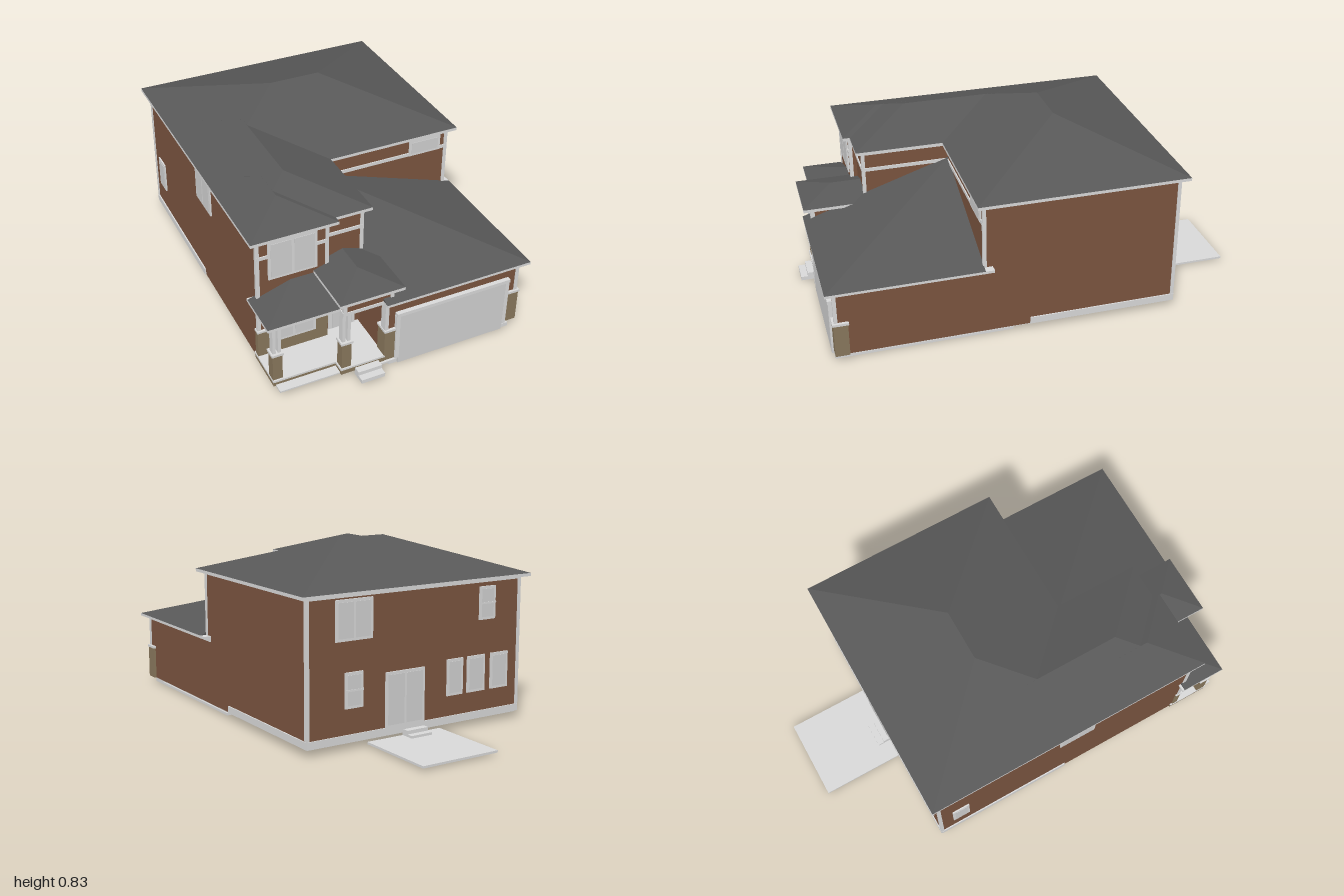
import * as THREE from 'three';
import { ConvexGeometry } from 'three/addons/geometries/ConvexGeometry.js';

const mat = (name, color) => {
  const m = new THREE.MeshStandardMaterial({ color });
  m.name = name;
  return m;
};

export function createModel() {
  const model = new THREE.Group();
  model.name = 'house';
  const trim = mat('trim', 0xd8d8d8);
  const glass = mat('pane', 0xd0d0d0);
  const brick = mat('brick', 0x7a543f);
  const stone = mat('stone', 0x88775c);
  const roof = mat('roof', 0x585858);

  const add = (name, geo, m, parent = model) => {
    const mesh = new THREE.Mesh(geo, m);
    mesh.name = name;
    parent.add(mesh);
    return mesh;
  };
  // box given by its limits on each axis
  const box = (name, m, x0, x1, y0, y1, z0, z1, parent) => {
    const b = add(name, new THREE.BoxGeometry(x1 - x0, y1 - y0, z1 - z0), m, parent);
    b.position.set((x0 + x1) / 2, (y0 + y1) / 2, (z0 + z1) / 2);
    return b;
  };
  // roof solid: rectangular eave plus ridge points
  const roofSolid = (name, x0, x1, z0, z1, y, ridge) => {
    const pts = [[x0, y, z0], [x1, y, z0], [x1, y, z1], [x0, y, z1], ...ridge];
    add(name, new ConvexGeometry(pts.map((p) => new THREE.Vector3(...p))), roof);
  };
  const eave = (name, x0, x1, y0, y1, z0, z1) => box(name, trim, x0, x1, y0, y1, z0, z1);

  // walls
  box('mainWalls', brick, -0.565, 0.565, 0.13, 0.757, -0.61, 0.28);
  box('wingWalls', brick, -0.565, -0.07, 0.13, 0.757, 0.28, 0.68);
  box('bayWalls', brick, -0.565, -0.25, 0.13, 0.757, 0.68, 0.71);
  box('garageWalls', brick, -0.07, 0.565, 0.13, 0.445, 0.28, 0.93);
  box('floorSlab', trim, -0.56, 0.56, 0.124, 0.131, -0.605, 0.925);

  // foundation strips
  box('backFoundation', trim, -0.568, 0.568, 0.13, 0.162, -0.615, -0.6);
  for (const s of [-1, 1]) box('sideFoundation', trim, s * 0.567 - 0.004, s * 0.567 + 0.004, 0.13, 0.162, -0.61, 0.07);

  // corner boards
  const corner = (x, z, y0, y1) => box('cornerBoard', trim, x - 0.008, x + 0.008, y0, y1, z - 0.008, z + 0.008);
  for (const [x, z, y0, y1] of [
    [-0.561, -0.606, 0.13, 0.757], [0.561, -0.606, 0.13, 0.757], [0.561, 0.276, 0.45, 0.757],
    [-0.561, 0.706, 0.285, 0.757], [-0.249, 0.706, 0.285, 0.757], [-0.074, 0.676, 0.44, 0.757],
    [0.561, 0.926, 0.285, 0.445],
  ]) corner(x, z, y0, y1);

  // frieze and belt boards on the front faces
  for (const [x0, x1, z] of [[-0.565, -0.25, 0.71], [-0.25, -0.07, 0.68], [-0.07, 0.565, 0.28]]) {
    box('frieze', trim, x0, x1, 0.742, 0.757, z - 0.004, z + 0.005);
    box('beltBoard', trim, x0, x1, 0.66, 0.676, z - 0.004, z + 0.005);
  }
  box('wingSideBelt', trim, -0.074, -0.065, 0.66, 0.676, 0.28, 0.68);
  box('wingSideFrieze', trim, -0.074, -0.065, 0.742, 0.757, 0.28, 0.68);
  box('backFrieze', trim, -0.565, 0.565, 0.745, 0.757, -0.615, -0.6);
  box('rightFrieze', trim, 0.56, 0.57, 0.745, 0.757, -0.61, 0.28);
  box('leftFrieze', trim, -0.57, -0.56, 0.745, 0.757, -0.61, 0.71);

  // upper roofs and their eaves
  roofSolid('mainRoof', -0.6, 0.6, -0.645, 0.31, 0.77, [[-0.12, 0.929, -0.168], [0.12, 0.929, -0.168]]);
  roofSolid('wingRoof', -0.6, -0.04, -0.3, 0.71, 0.77, [[-0.32, 0.863, -0.02], [-0.32, 0.863, 0.43]]);
  roofSolid('bayRoof', -0.6, -0.21, 0.2, 0.742, 0.77, [[-0.405, 0.835, 0.395], [-0.405, 0.835, 0.547]]);
  eave('mainEave', -0.6, 0.6, 0.756, 0.77, -0.645, 0.31);
  eave('wingEave', -0.6, -0.04, 0.756, 0.77, 0.2, 0.71);
  eave('bayEave', -0.6, -0.21, 0.756, 0.77, 0.5, 0.742);

  // garage roof: one hip leaning on the wing corner, with a short return beside the entry
  roofSolid('garageRoof', -0.07, 0.6, 0.28, 0.967, 0.457, [[-0.07, 0.68, 0.28]]);
  roofSolid('garageRoofReturn', -0.095, -0.065, 0.68, 0.967, 0.457, [[-0.095, 0.55, 0.68], [-0.065, 0.55, 0.68]]);
  eave('garageEave', -0.095, 0.6, 0.445, 0.457, 0.68, 0.967);
  eave('garageSideEave', 0.5, 0.6, 0.445, 0.457, 0.24, 0.7);
  box('garageFrieze', trim, -0.08, 0.57, 0.43, 0.446, 0.922, 0.936);
  box('garageSideFrieze', trim, 0.56, 0.57, 0.43, 0.446, 0.24, 0.93);

  // porch roof and entry roof
  roofSolid('porchRoof', -0.6, -0.2, 0.69, 0.902, 0.458, [[-0.395, 0.525, 0.69], [-0.2, 0.525, 0.69]]);
  eave('porchEave', -0.6, -0.2, 0.445, 0.458, 0.68, 0.902);
  roofSolid('entryRoof', -0.31, -0.015, 0.68, 0.967, 0.53, [[-0.163, 0.577, 0.68], [-0.163, 0.577, 0.82]]);
  eave('entryEave', -0.31, -0.015, 0.516, 0.53, 0.68, 0.967);
  box('entryHeader', brick, -0.275, -0.05, 0.45, 0.516, 0.68, 0.93);
  box('entryHeaderCap', trim, -0.28, -0.045, 0.503, 0.517, 0.7, 0.935);
  box('entryHeaderBase', trim, -0.28, -0.06, 0.44, 0.455, 0.68, 0.934);
  for (const x of [-0.27, -0.055]) box('entryHeaderEnd', trim, x - 0.008, x + 0.008, 0.45, 0.516, 0.915, 0.935);
  box('porchBeam', trim, -0.565, -0.24, 0.425, 0.446, 0.84, 0.875);
  box('porchSideBeam', trim, -0.565, -0.535, 0.425, 0.446, 0.7, 0.86);

  // porch floor and front steps
  box('porchBase', stone, -0.57, -0.08, 0.125, 0.148, 0.68, 0.88);
  box('porchFloor', trim, -0.573, -0.08, 0.148, 0.157, 0.68, 0.885);
  box('entryBase', stone, -0.285, -0.08, 0.125, 0.148, 0.85, 0.935);
  box('entryFloor', trim, -0.288, -0.08, 0.148, 0.157, 0.85, 0.938);
  box('lowerStep', trim, -0.22, -0.11, 0.104, 0.122, 0.93, 1);
  box('upperStep', trim, -0.22, -0.11, 0.122, 0.14, 0.93, 0.968);

  // porch columns on stone piers
  const column = (x, z) => {
    box('pier', stone, x - 0.022, x + 0.022, 0.13, 0.285, z - 0.022, z + 0.022);
    box('pierCap', trim, x - 0.027, x + 0.027, 0.284, 0.295, z - 0.027, z + 0.027);
    for (const d of [-0.012, 0.012])
      box('columnPost', trim, x + d - 0.007, x + d + 0.007, 0.295, 0.446, z - 0.016, z + 0.016);
  };
  column(-0.549, 0.855);
  column(-0.26, 0.91);

  // stone wainscot under the porch window and at the garage corners
  box('porchWainscot', stone, -0.57, -0.245, 0.13, 0.285, 0.69, 0.718);
  box('wainscotCap', trim, -0.573, -0.242, 0.284, 0.293, 0.69, 0.722);
  for (const [x0, x1] of [[-0.085, -0.02], [0.5, 0.575]]) {
    box('garageStone', stone, x0, x1, 0.13, 0.285, 0.875, 0.938);
    box('garageStoneCap', trim, x0 - 0.003, x1 + 0.004, 0.284, 0.295, 0.871, 0.942);
  }
  box('garagePost', trim, -0.085, -0.068, 0.295, 0.44, 0.9, 0.936);

  // garage door
  box('garageDoor', glass, -0.02, 0.5, 0.1, 0.36, 0.92, 0.945);
  box('garageDoorHeader', trim, -0.035, 0.518, 0.36, 0.376, 0.92, 0.95);
  for (const x of [-0.027, 0.508]) box('garageDoorJamb', trim, x - 0.009, x + 0.009, 0.13, 0.362, 0.92, 0.947);
  box('garageSlab', trim, -0.06, 0.54, 0.096, 0.108, 0.14, 0.935);
  box('garageSlabEdge', trim, 0.5, 0.54, 0.105, 0.115, 0.85, 0.935);
  box('entrySlab', trim, -0.11, -0.02, 0.106, 0.115, 0.85, 0.935);

  // front door
  box('doorFrame', trim, -0.226, -0.1, 0.157, 0.44, 0.675, 0.688);
  box('frontDoor', glass, -0.21, -0.115, 0.162, 0.425, 0.68, 0.692);

  // window facing +z in its own frame: surround, panes and a rail
  const windowUnit = (name, cx, cy, cz, w, h, panes, turn, rail = false) => {
    const g = new THREE.Group();
    g.name = name;
    const b = 0.012, pw = (w - b) / panes;
    box('surround', trim, -w / 2, w / 2, -h / 2, h / 2, -0.006, 0.007, g);
    for (let i = 0; i < panes; i++) {
      const x = -w / 2 + b + i * pw;
      box('pane', glass, x, x + pw - b, -h / 2 + b, h / 2 - b, 0.003, 0.009, g);
    }
    if (rail) box('rail', trim, -w / 2, w / 2, -0.004, 0.004, 0.003, 0.011, g);
    g.position.set(cx, cy, cz);
    g.rotation.y = turn;
    model.add(g);
  };
  windowUnit('upperBayWindow', -0.405, 0.645, 0.71, 0.22, 0.19, 2, 0);
  windowUnit('porchWindow', -0.408, 0.33, 0.719, 0.205, 0.22, 2, 0);
  windowUnit('upperFrontWindow', 0.45, 0.7, 0.28, 0.16, 0.08, 1, 0);

  const back = [
    ['upperBackWindow', 0.335, 0.65, 0.185, 0.175, 2, false],
    ['lowerBackWindow', 0.335, 0.352, 0.09, 0.155, 1, true],
    ['patioDoor', 0.072, 0.282, 0.205, 0.245, 2, false],
    ['upperBackSmallWindow', -0.375, 0.652, 0.09, 0.15, 1, true],
    ['tripleWindow', -0.198, 0.337, 0.088, 0.165, 1, false],
    ['tripleWindow', -0.317, 0.337, 0.1, 0.165, 1, false],
    ['tripleWindow', -0.45, 0.337, 0.1, 0.165, 1, false],
  ];
  for (const [n, x, y, w, h, p, r] of back) windowUnit(n, x, y, -0.61, w, h, p, Math.PI, r);
  windowUnit('rightSideUpperWindow', -0.565, 0.64, 0.11, 0.18, 0.18, 2, -Math.PI / 2);
  windowUnit('rightSideLowerWindow', -0.565, 0.35, -0.5, 0.085, 0.15, 1, -Math.PI / 2);

  // patio and back steps
  box('patio', trim, -0.12, 0.265, 0.105, 0.115, -1, -0.61);
  box('backLowerStep', trim, -0.03, 0.08, 0.115, 0.126, -0.675, -0.61);
  box('backUpperStep', trim, -0.03, 0.08, 0.126, 0.142, -0.645, -0.61);

  return model;
}
